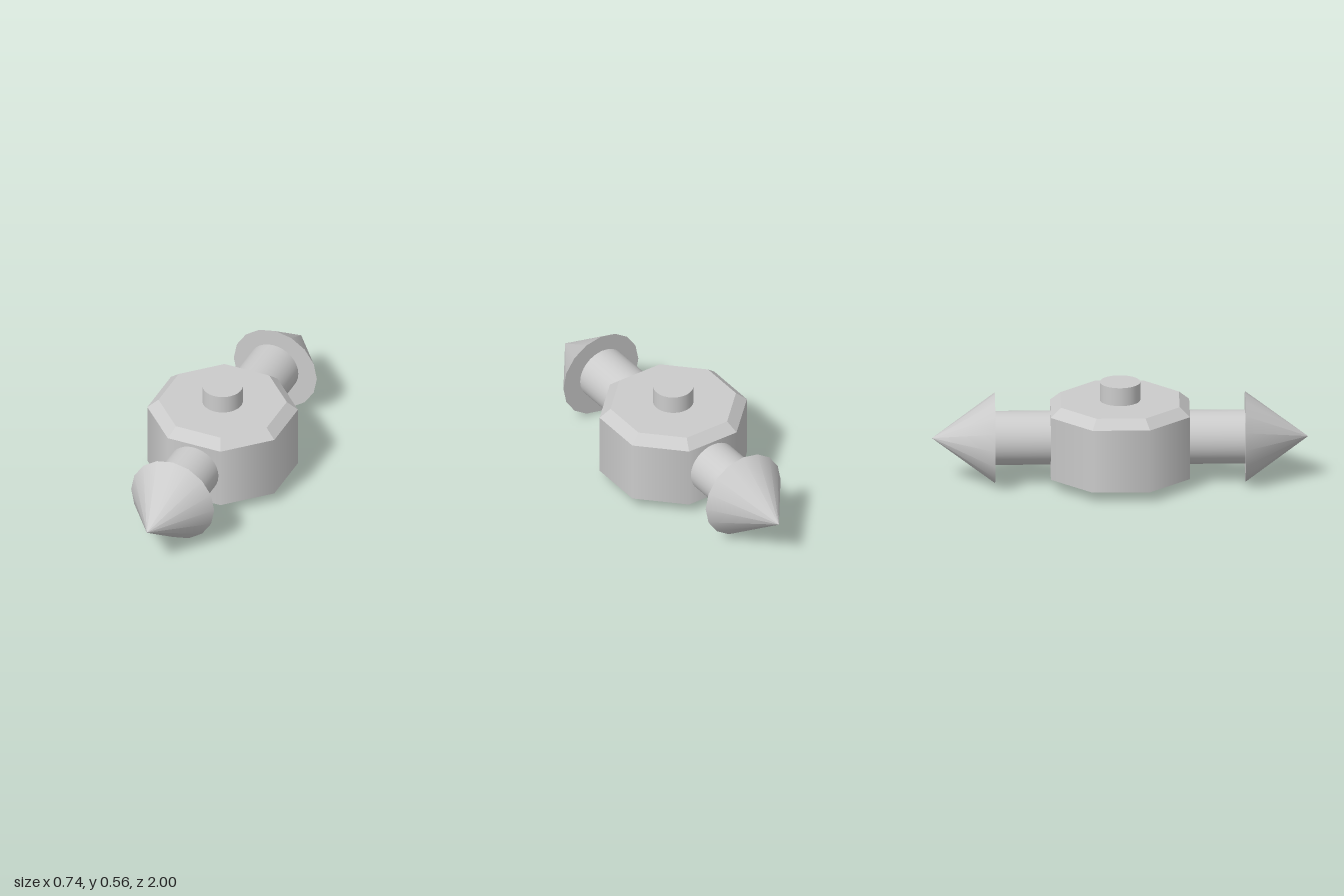
import * as THREE from 'three';

export function createModel() {
  const model = new THREE.Group();
  const smooth = new THREE.MeshStandardMaterial({ color: 0xcccccc });
  const faceted = new THREE.MeshStandardMaterial({ color: 0xcccccc, flatShading: true });

  // Upright round or octagonal part between two heights
  function upright(name, rTop, rBottom, y0, y1, sides, material, open = false) {
    const geo = new THREE.CylinderGeometry(rTop, rBottom, y1 - y0, sides, 1, open);
    geo.rotateY(Math.PI / sides);
    geo.translate(0, (y0 + y1) / 2, 0);
    const mesh = new THREE.Mesh(geo, material);
    mesh.name = name;
    return mesh;
  }

  // Octagonal hub with a bevelled top edge; radii reach the corners
  const corner = 1 / Math.cos(Math.PI / 8);
  const hub = new THREE.Group();
  hub.name = 'hub';
  hub.add(
    upright('hubWall', 0.37 * corner, 0.37 * corner, 0.061, 0.408, 8, smooth),
    upright('hubBevel', 0.315 * corner, 0.37 * corner, 0.408, 0.457, 8, faceted)
  );
  model.add(hub);

  // Pin running through the hub
  model.add(upright('axlePin', 0.108, 0.108, 0.007, 0.557, 32, smooth));

  // A round shaft and a cone tip on the front and back
  for (const side of [1, -1]) {
    const arm = new THREE.Group();
    arm.name = side > 0 ? 'frontArm' : 'backArm';

    const shaftGeo = new THREE.CylinderGeometry(0.144, 0.144, 0.4, 32);
    shaftGeo.rotateX(side * Math.PI / 2);
    const shaft = new THREE.Mesh(shaftGeo, smooth);
    shaft.name = 'shaft';
    shaft.position.set(-0.002, 0.247, side * 0.466);

    const tipGeo = new THREE.ConeGeometry(0.242, 0.335, 16);
    tipGeo.rotateX(side * Math.PI / 2);
    const tip = new THREE.Mesh(tipGeo, smooth);
    tip.name = 'coneTip';
    tip.position.set(0.008, 0.244, side * 0.8325);

    arm.add(shaft, tip);
    model.add(arm);
  }
  return model;
}
